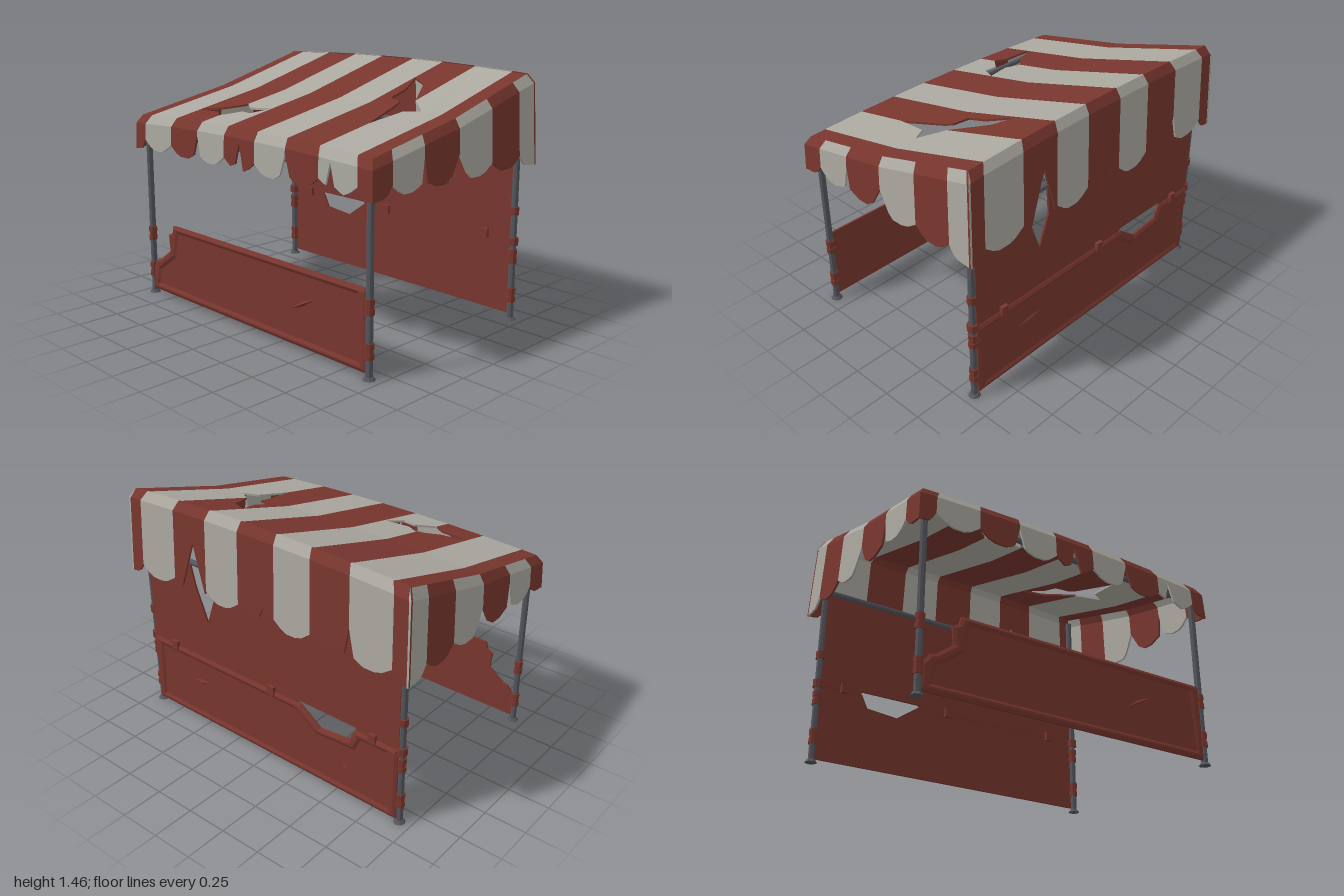
import * as THREE from 'three';

const mat = (name, color) => {
  const m = new THREE.MeshStandardMaterial({ color, flatShading: true, side: THREE.DoubleSide });
  m.name = name;
  return m;
};

export function createModel() {
  const red = mat('red cloth', 0x78362e);
  const grey = mat('pale cloth', 0xaaa89f);
  const metal = mat('dark metal', 0x55565d);
  const root = new THREE.Group();
  root.name = 'marketStall';

  const group = (name) => {
    const g = new THREE.Group();
    g.name = name;
    root.add(g);
    return g;
  };
  const add = (parent, name, geo, material, x = 0, y = 0, z = 0) => {
    const m = new THREE.Mesh(geo, material);
    m.name = name;
    m.position.set(x, y, z);
    parent.add(m);
    return m;
  };
  const shapeOf = (pts) => new THREE.Shape(pts.map((p) => new THREE.Vector2(p[0], p[1])));

  // Thin cloth: flat outline (u, v) with thickness d, bent into place by a rule
  const cloth = (parent, name, pts, material, rule) => {
    const geo = new THREE.ExtrudeGeometry(shapeOf(pts), { depth: 0.012, bevelEnabled: false });
    const p = geo.attributes.position;
    for (let i = 0; i < p.count; i++) p.setXYZ(i, ...rule(p.getX(i), p.getY(i), p.getZ(i)));
    geo.computeVertexNormals();
    add(parent, name, geo, material);
  };

  // ---- Canopy roof: striped, sloping, slightly domed, with two torn holes ----
  const HX = 0.955, ZF = 0.62, ZB = -0.63;
  const roofY = (x, z) =>
    (z > 0 ? 1.285 - (z / ZF) * 0.125 : 1.285 + (z / ZB) * 0.18) - 0.03 * x * x;
  const xs = [-HX, -0.86, -0.605, -0.36, -0.125, 0.125, 0.36, 0.6, 0.86, HX];
  const roofRule = (x, z, d) => [x, roofY(x, z) - d, z];

  // Torn edges per stripe: left edges listed front to back, right edges back to front
  const tears = {
    '2front': { right: [[-0.36, 0.28], [-0.47, 0.38], [-0.6, 0.43], [-0.6, 0.45], [-0.43, 0.45], [-0.36, 0.5]] },
    '3front': { left: [[-0.36, 0.5], [-0.27, 0.4], [-0.19, 0.41], [-0.13, 0.3], [-0.28, 0.33], [-0.36, 0.28]] },
    '6back': {
      right: [[0.6, -0.1], [0.48, -0.31], [0.365, -0.37], [0.43, -0.21], [0.43, -0.09], [0.52, -0.06], [0.535, 0]],
      noBottomRight: true,
    },
    '6front': { right: [[0.535, 0], [0.6, 0.27]], noTopRight: true },
    '7back': { left: [[0.73, 0], [0.6, -0.1]], noBottomLeft: true },
    '7front': { left: [[0.6, 0.27], [0.64, 0.05], [0.73, 0]], noTopLeft: true },
  };
  const roof = group('canopyRoof');
  for (let i = 0; i < 9; i++) {
    for (const [half, z0, z1] of [['back', ZB, 0], ['front', 0, ZF]]) {
      const t = tears[i + half] || {};
      const pts = [];
      if (!t.noTopLeft) pts.push([xs[i], z0]);
      if (!t.noTopRight) pts.push([xs[i + 1], z0]);
      pts.push(...(t.right || []));
      if (!t.noBottomRight) pts.push([xs[i + 1], z1]);
      if (!t.noBottomLeft) pts.push([xs[i], z1]);
      pts.push(...(t.left || []));
      cloth(roof, 'roofStripe', pts, i % 2 ? grey : red, roofRule);
    }
  }

  // ---- Valances: scalloped hems with rips, bevelled along the top ----
  const BEVEL = 0.05;
  const flare = (d) => Math.min(d, BEVEL) * 0.6 + Math.max(0, d - BEVEL) * 0.04;
  const hem = (u0, u1, first, last, rips) => {
    let pts = [[0, first ? 0.925 : 0.99], [0.22, 0.95], [0.4, 0.935], [0.65, 0.935], [0.8, 0.952], [1, last ? 0.925 : 0.99]]
      .map(([f, y]) => [u0 + f * (u1 - u0), first && f < 0.5 || last && f > 0.5 ? Math.min(y, 0.93) : y]);
    for (const [u, h, w] of rips) {
      if (u < u0 || u > u1) continue;
      pts = pts.filter((p) => Math.abs(p[0] - u) > w);
      for (const p of [[u - w, 0.965], [u, h], [u + w, 0.965]]) if (p[0] >= u0 && p[0] <= u1) pts.push(p);
    }
    return pts.sort((a, b) => a[0] - b[0]);
  };
  const valance = (name, bounds, firstRed, rips, topY, place) => {
    const g = group(name);
    const rule = (u, v, d) => place(u, v, flare(topY(u) - v), d);
    const n = bounds.length - 1;
    for (let i = 0; i < n; i++) {
      const u0 = bounds[i], u1 = bounds[i + 1];
      const m = (i % 2 === 0) === firstRed ? red : grey;
      const a = topY(u0), b = topY(u1);
      cloth(g, 'valanceBevel', [[u0, a], [u0, a - BEVEL], [u1, b - BEVEL], [u1, b]], m, rule);
      cloth(g, 'valanceFlap',
        [[u0, a - BEVEL], ...hem(u0, u1, i === 0, i === n - 1, rips), [u1, b - BEVEL]], m, rule);
    }
  };
  valance('frontValance', xs, true,
    [[-0.36, 1.08, 0.03], [0, 1.085, 0.03], [0.36, 1.08, 0.035], [0.68, 1.085, 0.03]],
    (x) => roofY(x, ZF), (x, y, o, d) => [x * (1 + o / HX), y, ZF + o - d]);
  valance('backValance', xs, true,
    [[0.455, 1.25, 0.085], [-0.05, 1.03, 0.03], [-0.605, 1.12, 0.03]],
    (x) => roofY(x, ZB), (x, y, o, d) => [x * (1 + o / HX), y, ZB - o + d]);
  const zs = [ZB, -0.49, -0.26, 0, 0.26, 0.485, ZF];
  for (const s of [1, -1]) {
    valance(s > 0 ? 'leftValance' : 'rightValance', zs, false,
      [[0.26, 1.1, 0.02], [0, 1.075, 0.06]],
      (z) => roofY(HX, z), (z, y, o, d) => [s * (HX + o - d), y, z * (1 + o / ZF)]);
  }

  // ---- Poles with feet and strap collars ----
  const tube = (r, h, n = 8) => new THREE.CylinderGeometry(r, r, h, n);
  for (const sx of [-1, 1]) {
    for (const sz of [-1, 1]) {
      const g = group(sz > 0 ? 'frontPole' : 'backPole');
      const h = sz > 0 ? 1.12 : 1.38;
      g.position.set(sx * 0.93, 0, sz * 0.6);
      add(g, 'pole', tube(0.019, h), metal, 0, h / 2, 0);
      add(g, 'foot', new THREE.CylinderGeometry(0.024, 0.035, 0.016, 8), metal, 0, 0.008, 0);
      for (const y of [0.125, 0.18, 0.36, 0.412]) add(g, 'collar', tube(0.026, 0.032), red, 0, y, 0);
      for (const y of [0.152, 0.386]) add(g, 'strap', tube(0.022, 0.04), red, 0, y, 0);
      if (sz < 0) {
        add(g, 'collar', tube(0.027, 0.045), red, 0, 0.655, 0);
        add(g, 'collar', tube(0.03, 0.045), red, 0, 0.475, 0);
      }
    }
  }

  // ---- Cross bars under the canopy ----
  for (const [name, y, z] of [['frontBar', 1.04, 0.6], ['backBar', 1.08, -0.6]]) {
    add(root, name, tube(0.017, 1.86), metal, 0, y, z).rotation.z = Math.PI / 2;
    for (const s of [-1, 1]) add(root, 'barJoint', new THREE.BoxGeometry(0.05, 0.05, 0.05), metal, s * 0.93, y, z);
  }

  // ---- Wall panels: a thin sheet with a bevelled rim on the outer face ----
  const wall = (name, outline, inner, z, facing) => {
    const g = group(name);
    g.position.z = z;
    const sheet = new THREE.ExtrudeGeometry(shapeOf(outline), { depth: 0.012, bevelEnabled: false });
    add(g, 'sheet', sheet, red, 0, 0, facing > 0 ? 0 : -0.012);
    if (inner) {
      const s = shapeOf(outline);
      s.holes.push(shapeOf(inner));
      const rim = new THREE.ExtrudeGeometry(s, {
        depth: 0.002, bevelThickness: 0.01, bevelSize: 0.018, bevelOffset: -0.018, bevelSegments: 1,
      });
      rim.scale(1, 1, facing);
      add(g, 'rim', rim, red, 0, 0, facing * 0.01);
    }
    return g;
  };
  // Creases: low pyramids pressed out of the sheet
  const crease = (g, x, y, z, len, angle, facing) => {
    const geo = new THREE.ConeGeometry(1, 1, 4).rotateX(facing * Math.PI / 2);
    geo.scale(len, 0.018, 0.014).rotateZ(angle);
    add(g, 'crease', geo, red, x, y, z);
  };

  const front = wall('frontPanel',
    [[-0.92, 0.03], [0.92, 0.03], [0.92, 0.475], [-0.7, 0.475], [-0.71, 0.43], [-0.75, 0.41],
      [-0.74, 0.31], [-0.84, 0.235], [-0.87, 0.23], [-0.92, 0.17]],
    [[-0.86, 0.075], [0.865, 0.075], [0.85, 0.435], [-0.65, 0.435], [-0.68, 0.28], [-0.84, 0.17]], 0.595, 1);
  crease(front, 0.45, 0.275, 0.015, 0.16, 0.47, 1);

  const back = wall('backLowerPanel',
    [[-0.92, 0.03], [0.92, 0.03], [0.92, 0.48], [-0.26, 0.48], [-0.4, 0.38], [-0.6, 0.4], [-0.64, 0.48], [-0.92, 0.48]],
    [[-0.865, 0.075], [0.865, 0.075], [0.85, 0.435], [-0.22, 0.435], [-0.37, 0.335], [-0.64, 0.35], [-0.68, 0.435], [-0.85, 0.435]],
    -0.612, -1);
  crease(back, 0.52, 0.3, -0.015, 0.13, -0.1, -1);
  crease(back, -0.58, 0.2, -0.015, 0.07, 0.9, -1);

  wall('backUpperPanel',
    [[-0.92, 0.475], [-0.65, 0.475], [-0.64, 0.495], [-0.26, 0.495], [-0.24, 0.475], [0.92, 0.475],
      [0.92, 1.08], [0.56, 1.08], [0.53, 0.95], [0.445, 0.73], [0.375, 0.92], [0.39, 1.08], [-0.92, 1.08]],
    null, -0.608, -1);

  // ---- Clips holding the two back panels together ----
  for (const x of [-0.76, -0.05, 0.73]) {
    add(root, 'panelClip', new THREE.BoxGeometry(0.045, 0.055, 0.055), red, x, 0.485, -0.615);
  }
  return root;
}
